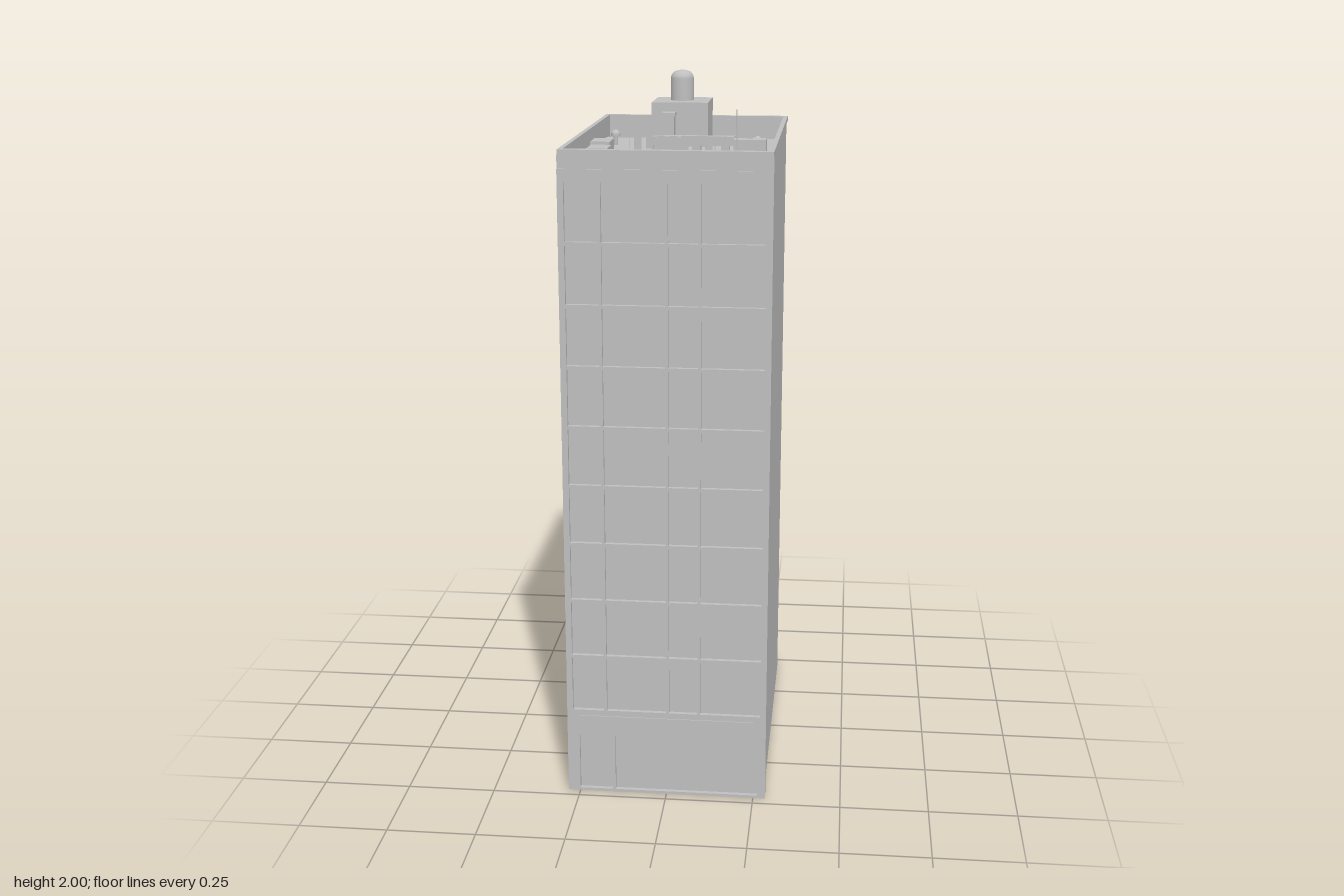
import * as THREE from 'three';

export function createModel() {
  const model = new THREE.Group();
  const concrete = new THREE.MeshStandardMaterial({ color: 0xbfbfbf });
  concrete.name = 'concreteGrey';

  const add = (name, geometry, x = 0, y = 0, z = 0) => {
    const mesh = new THREE.Mesh(geometry, concrete);
    mesh.name = name;
    mesh.position.set(x, y, z);
    model.add(mesh);
    return mesh;
  };
  // Box given by its extents
  const box = (name, x0, x1, y0, y1, z0, z1) =>
    add(name, new THREE.BoxGeometry(x1 - x0, y1 - y0, z1 - z0),
      (x0 + x1) / 2, (y0 + y1) / 2, (z0 + z1) / 2);
  const cylinder = (name, r, y0, y1, x, z, sides = 12) =>
    add(name, new THREE.CylinderGeometry(r, r, y1 - y0, sides), x, (y0 + y1) / 2, z);
  // Flat plate with rectangular holes; rectangles are [x0, x1, y0, y1]
  const plate = (outer, holes, depth) => {
    const trace = (path, [x0, x1, y0, y1]) => {
      path.moveTo(x0, y0);
      path.lineTo(x1, y0);
      path.lineTo(x1, y1);
      path.lineTo(x0, y1);
      path.closePath();
      return path;
    };
    const shape = trace(new THREE.Shape(), outer);
    shape.holes = holes.map((h) => trace(new THREE.Path(), h));
    return new THREE.ExtrudeGeometry(shape, { depth, bevelEnabled: false });
  };

  const ROOF = 1.78, FLOORS = 9, STEP = 0.169;

  // Main block and front slab
  box('body', -0.28, 0.28, 0, ROOF, -0.442, 0.45);
  box('frontSlab', -0.285, 0.285, 0, 1.8, 0.45, 0.458);

  // Front grid: four recessed bays on each floor, and the entrance level
  const bays = [[-0.268, -0.178], [-0.17, 0.0], [0.008, 0.089], [0.097, 0.268]];
  const openings = [[-0.25, -0.155, 0.008, 0.175], [-0.147, 0.262, 0.008, 0.175]];
  for (let f = 0; f < FLOORS; f++) {
    const y = 0.25 + f * STEP;
    for (const [x0, x1] of bays) openings.push([x0, x1, y + 0.005, y + STEP - 0.005]);
  }
  add('frontGrid', plate([-0.285, 0.285, 0, 1.8], openings, 0.012), 0, 0, 0.458);
  box('entranceLedge', -0.25, 0.25, 0.232, 0.238, 0.469, 0.473);

  // Rear wall with three columns of recessed windows and projecting sills
  const rearOpenings = [];
  for (let f = 0; f < FLOORS; f++) {
    const y = 0.27 + f * 0.17;
    for (const x of [-0.19, 0, 0.19]) {
      rearOpenings.push([x - 0.037, x + 0.037, y, y + 0.095]);
      box('rearSill', x - 0.04, x + 0.04, y - 0.008, y, -0.461, -0.45);
    }
  }
  add('rearWall', plate([-0.28, 0.28, 0, ROOF], rearOpenings, 0.01), 0, 0, -0.452);

  // Parapet and coping rings, drawn flat and laid level
  const ring = (name, outer, hole, y, height) => {
    add(name, plate(outer, [hole], height), 0, y, 0).rotation.x = -Math.PI / 2;
  };
  const inner = [-0.271, 0.271, -0.443, 0.438];
  ring('parapet', [-0.28, 0.28, -0.464, 0.452], inner, ROOF, 0.058);
  ring('coping', [-0.284, 0.284, -0.467, 0.455], inner, 1.836, 0.014);
  box('frontCornice', -0.285, 0.285, 1.8, 1.836, 0.44, 0.466);

  // Rear drainpipe with brackets
  cylinder('drainpipe', 0.005, 0, 1.82, 0.267, -0.459, 8);
  for (let i = 0; i < 10; i++) {
    const y = 0.1 + i * 0.18;
    box('pipeBracket', 0.259, 0.275, y, y + 0.01, -0.466, -0.45);
  }

  // Rear wall air conditioners
  for (const y of [1.0, 1.11]) box('wallConditioner', -0.148, -0.104, y, y + 0.035, -0.473, -0.45);

  // Lift house with domed water tank
  box('liftHouse', -0.113, 0.055, ROOF, 1.91, -0.395, -0.215);
  const tank = [[0.035, 1.91], [0.035, 1.975], [0.033, 1.984], [0.026, 1.993], [0.014, 1.998], [0, 2]];
  add('waterTank', new THREE.LatheGeometry(tank.map((p) => new THREE.Vector2(...p)), 16), -0.03, 0, -0.305);

  // Duct and its upright shaft
  box('ductShaft', -0.07, -0.035, ROOF, 1.88, -0.147, -0.113);
  box('ductCap', -0.073, -0.032, 1.88, 1.89, -0.15, -0.11);
  box('duct', -0.035, 0.142, 1.795, 1.822, -0.145, -0.115);
  for (const x of [0.03, 0.115]) box('ductFoot', x - 0.012, x + 0.012, ROOF, 1.795, -0.147, -0.113);

  // Roof machine units
  for (const [x0, x1, z0, z1] of [
    [-0.085, 0.005, -0.027, 0.028], [0.152, 0.243, 0.017, 0.073],
    [-0.243, -0.188, 0.065, 0.155], [-0.23, -0.173, 0.225, 0.315],
  ]) box('roofUnit', x0, x1, ROOF, 1.835, z0, z1);

  // Round-capped vents
  for (const [x, z] of [[-0.225, -0.237], [-0.22, -0.047], [0.21, -0.105]]) {
    cylinder('ventPipe', 0.007, ROOF, 1.812, x, z);
    add('ventCap', new THREE.SphereGeometry(0.014, 12, 6, 0, Math.PI * 2, 0, Math.PI / 2), x, 1.812, z);
    cylinder('ventRim', 0.014, 1.808, 1.812, x, z);
  }

  // Clothes line with hanging cloths
  box('clothesLine', -0.116, 0.118, 1.867, 1.869, 0.291, 0.293);
  for (const x of [-0.115, 0.117]) box('linePost', x - 0.001, x + 0.001, ROOF, 1.87, 0.291, 0.293);
  for (let i = 0; i < 7; i++) {
    const x = -0.092 + i * 0.032;
    box('cloth', x - 0.01, x + 0.01, 1.825 + (i % 2) * 0.01, 1.867, 0.291, 0.293);
  }

  // Aerial
  cylinder('aerialMast', 0.0015, ROOF, 1.947, 0.18, 0.355, 6);
  box('aerialUpperBar', 0.157, 0.203, 1.918, 1.921, 0.354, 0.356);
  box('aerialLowerBar', 0.139, 0.223, 1.872, 1.875, 0.354, 0.356);

  return model;
}
